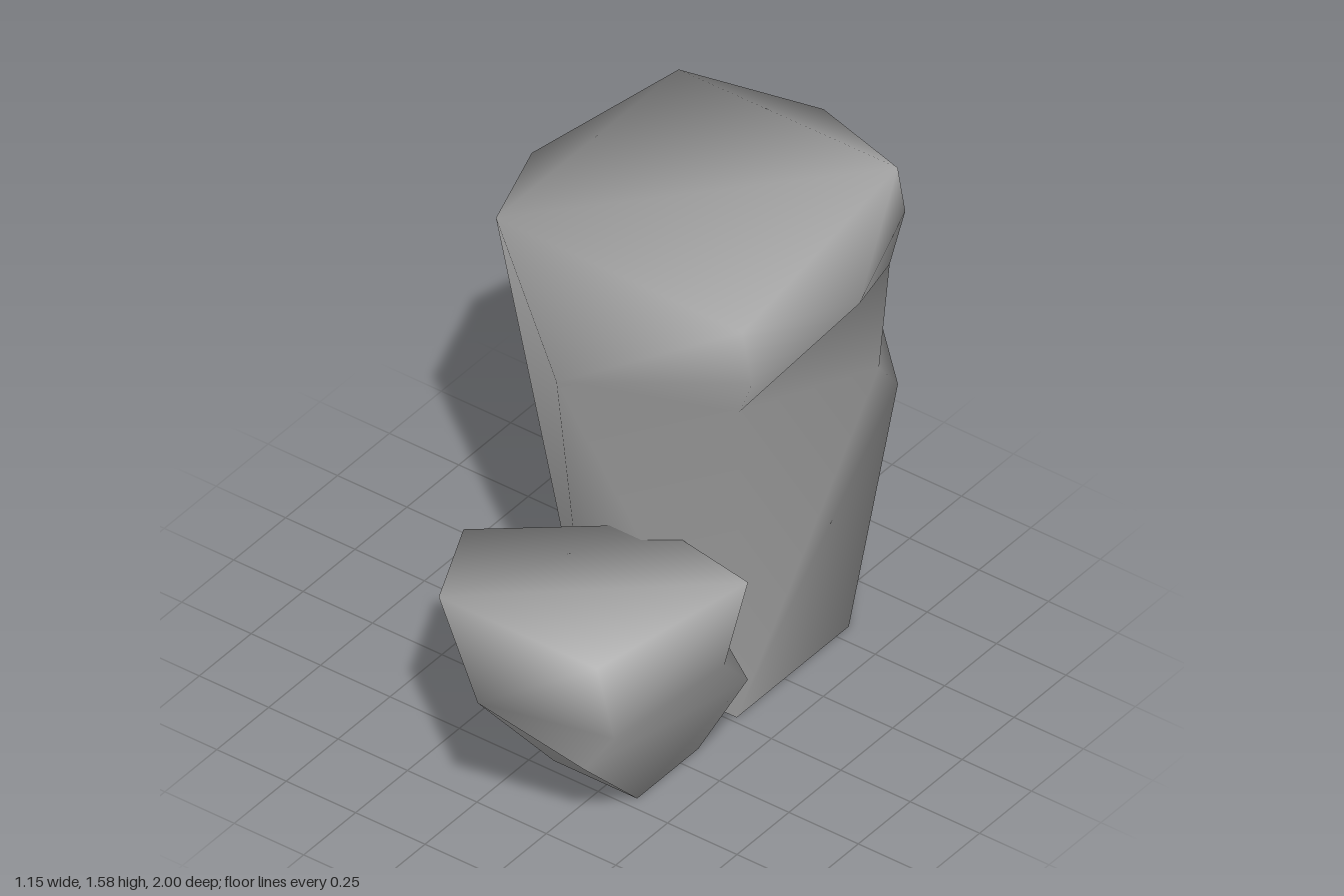
import * as THREE from 'three';

// Builds a smooth-shaded mesh from named corners and faces given as fans:
// the first corner is joined to each following pair of corners.
function rock(name, corners, fans, material) {
  const names = Object.keys(corners);
  const index = [];
  for (const fan of fans) {
    const [hub, ...rim] = fan.split(' ').map((n) => names.indexOf(n));
    for (let i = 0; i + 1 < rim.length; i++) index.push(hub, rim[i], rim[i + 1]);
  }
  const geometry = new THREE.BufferGeometry();
  geometry.setAttribute('position', new THREE.Float32BufferAttribute(Object.values(corners).flat(), 3));
  geometry.setIndex(index);
  geometry.computeVertexNormals();
  const mesh = new THREE.Mesh(geometry, material);
  mesh.name = name;
  return mesh;
}

// Flat underside, kept separate so the foot edge stays sharp
function base(name, x0, x1, z0, z1, material) {
  const geometry = new THREE.PlaneGeometry(x1 - x0, z1 - z0);
  geometry.rotateX(Math.PI / 2);
  geometry.translate((x0 + x1) / 2, 0, (z0 + z1) / 2);
  const mesh = new THREE.Mesh(geometry, material);
  mesh.name = name;
  return mesh;
}

export function createModel() {
  const stone = new THREE.MeshStandardMaterial({ color: 0xa6a6a6 });
  stone.name = 'stone grey';

  // b = foot, t = top; a = front left, then anticlockwise from above
  const tall = rock('tallRock', {
    ba: [-0.18, 0, -0.02], bb: [0.36, 0, -0.02], bc: [0.36, 0, -0.56], bd: [-0.18, 0, -0.56],
    ta: [-0.38, 1.58, 0.15], tb: [0.515, 1.58, 0.16], tc: [0.405, 1.58, -0.735], td: [-0.38, 1.58, -0.73],
    // bulging points in the middle of each side
    front: [0.07, 1.38, 0.46], side: [0.57, 1.41, -0.33],
    back: [-0.06, 1.417, -1], west: [-0.58, 1.455, -0.29],
    // ledge and notch along the side
    f1: [0.55, 1.41, 0.16], f2: [0.483, 1.26, 0.13],
    s1: [0.425, 1.425, -0.745], s2: [0.395, 1.24, -0.71],
    q: [0.375, 0.87, -0.685], p: [0.395, 0.78, -0.75],
  }, [
    'front ba bb f2 f1 tb ta ba',
    'side f2 s2 s1 tc tb f1 f2',
    'back p bd td tc s1 s2 q p',
    'west bd ba ta td bd',
    'bb bc p q f2',
    'f2 q s2',
    'p bc bd',
    'ta tb tc td',
  ], stone);

  const small = rock('smallRock', {
    ba: [0.06, 0, 0.46], bb: [0.36, 0, 0.46], bc: [0.36, 0, 0.165], bd: [0.06, 0, 0.165],
    ta: [-0.1, 0.73, 0.8], tb: [0.47, 0.73, 0.8], tc: [0.573, 0.73, 0.21], td: [0.2, 0.73, 0.145],
    front: [0.19, 0.6, 1], west: [-0.235, 0.73, 0.5],
    // notch and ledge around the side
    j: [0.42, 0.36, 0.65], g: [0.39, 0.3, 0.755],
    i: [0.465, 0.36, 0.18], h: [0.505, 0.29, 0.12],
  }, [
    'front ba bb g j tb ta ba',
    'bb bc h g',
    'g h i j',
    'j i tc tb',
    'td tc i h bc bd',
    'west td bd ba ta',
    'ta tb tc td west',
  ], stone);

  const group = new THREE.Group();
  group.name = 'rocks';
  group.add(
    tall, base('tallRockBase', -0.18, 0.36, -0.56, -0.02, stone),
    small, base('smallRockBase', 0.06, 0.36, 0.165, 0.46, stone),
  );
  return group;
}
